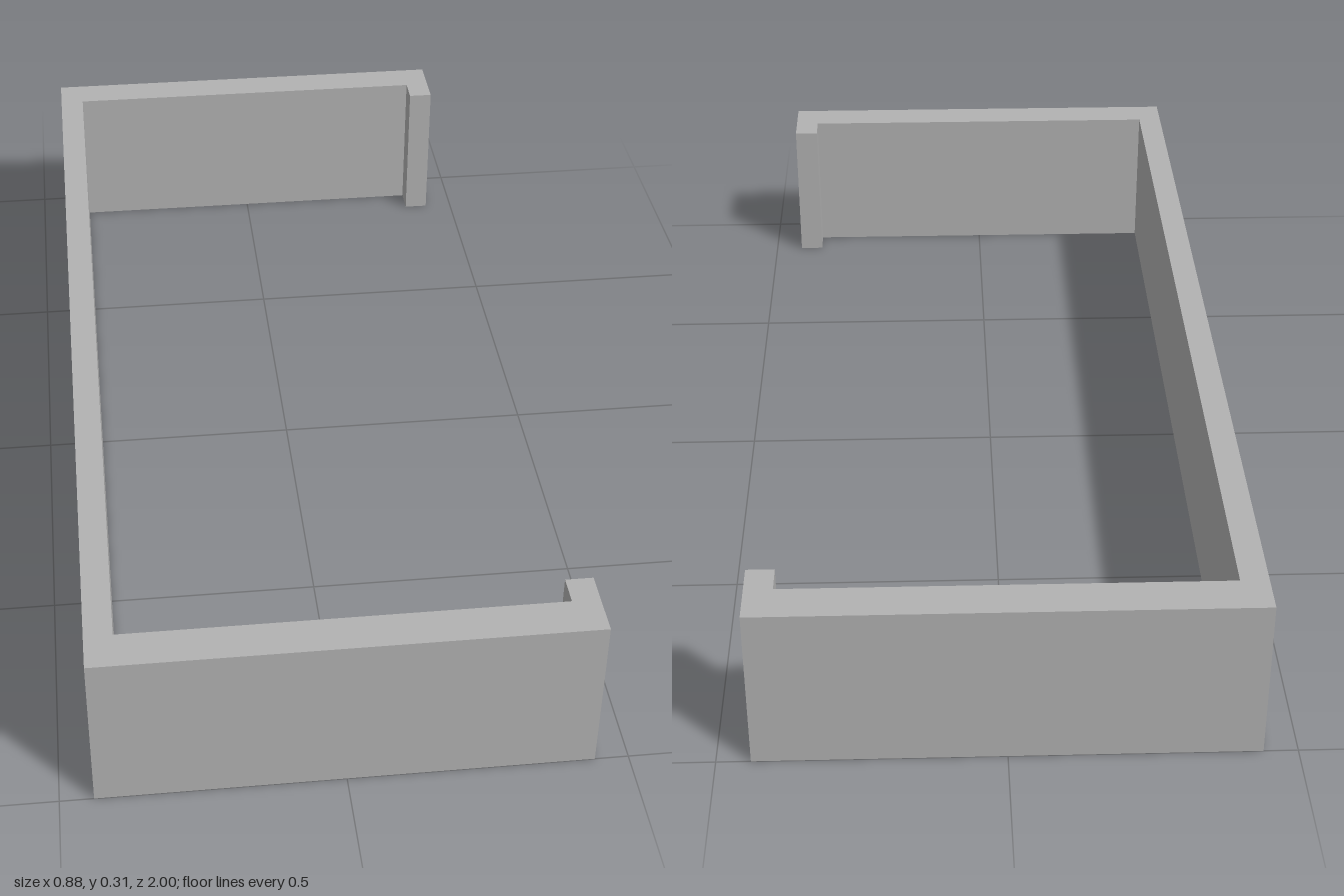
import * as THREE from 'three';

const W = 0.44, L = 1, H = 0.31; // half width, half length, height

export function createModel() {
  const group = new THREE.Group();
  group.name = 'clipBracket';
  const grey = new THREE.MeshStandardMaterial({ color: 0xb2b2b2 });
  grey.name = 'plain grey';

  // One half of the C-shaped outline, from the outer corner round the lip to the inner corner
  const half = [
    [-W, L], [W, L], [W, 0.87], [0.39, 0.87], [0.39, 0.925], [-0.39, 0.925],
  ];
  // Mirror it to close the outline
  const outline = [...half, ...half.map(([x, z]) => [x, -z]).reverse()];
  const shape = new THREE.Shape(outline.map(([x, z]) => new THREE.Vector2(x, z)));

  // Back wall, two arms and inward lips as one upright extrusion
  const geometry = new THREE.ExtrudeGeometry(shape, { depth: H, bevelEnabled: false });
  geometry.rotateX(-Math.PI / 2);
  const bracket = new THREE.Mesh(geometry, grey);
  bracket.name = 'bracket';
  group.add(bracket);
  return group;
}
